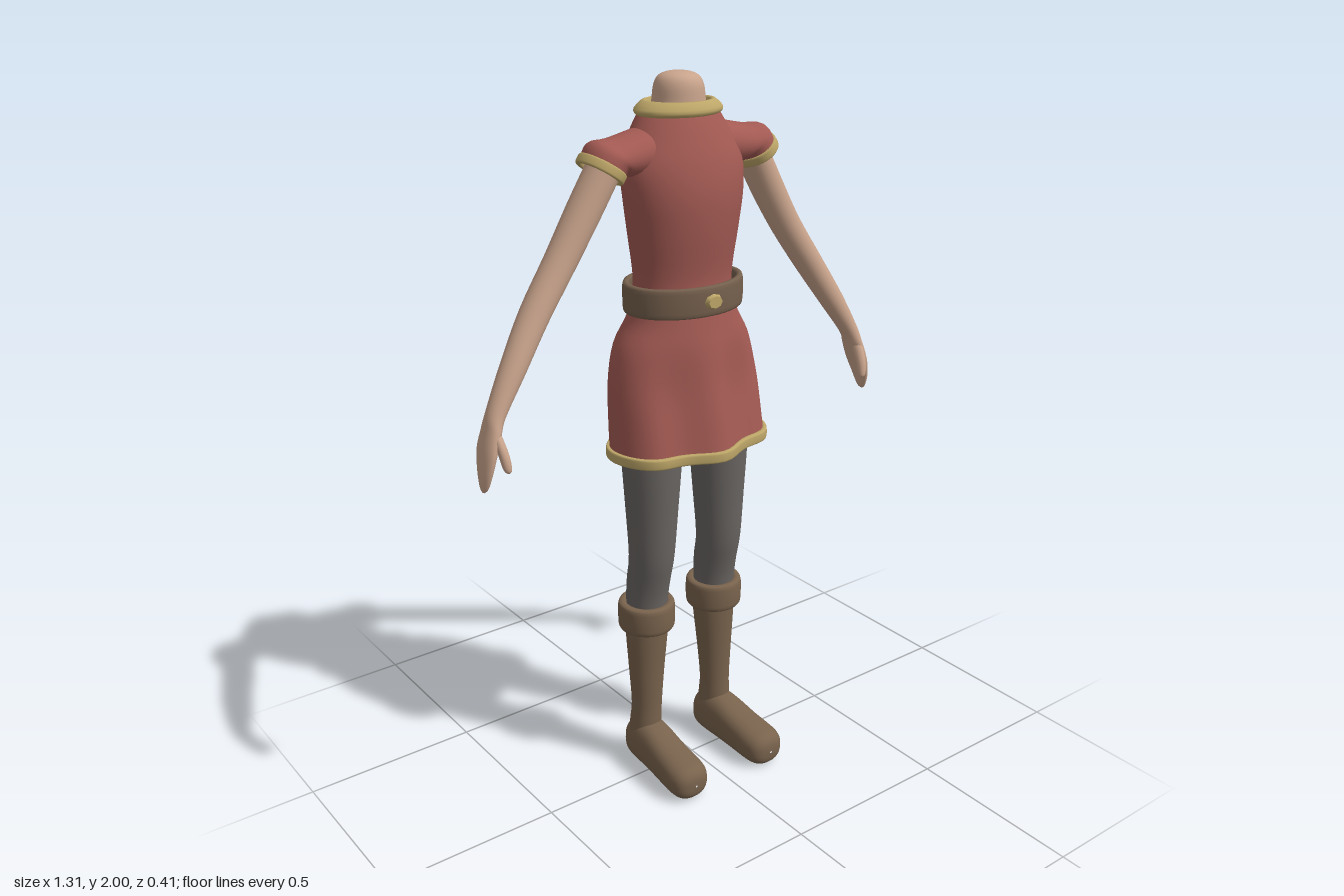
import * as THREE from 'three';

const paint = (name, color, extra = {}) => new THREE.MeshStandardMaterial({ name, color, ...extra });

// Joins oval sections [x, y, z, radiusX, radiusZ, tilt] from bottom to top.
// side mirrors the part, square below 1 makes the ovals boxier, warp bends each point.
function loft(name, material, sections, { side = 1, steps = 4, around = 32, square = 1, warp } = {}) {
  const rows = [];
  const last = sections.length - 1;
  const at = (i, k) => sections[Math.min(Math.max(i, 0), last)][k] ?? 0;
  for (let i = 0; i < last; i++) {
    for (let s = 0; s < steps; s++) {
      const t = s / steps;
      rows.push([0, 1, 2, 3, 4, 5].map((k) => {
        const a = at(i - 1, k), b = at(i, k), c = at(i + 1, k), d = at(i + 2, k);
        return b + 0.5 * t * (c - a + t * (2 * a - 5 * b + 4 * c - d + t * (3 * (b - c) + d - a)));
      }));
    }
  }
  rows.push([0, 1, 2, 3, 4, 5].map((k) => at(last, k)));
  const round = (v) => Math.sign(v) * Math.abs(v) ** square;
  const points = [], index = [];
  rows.forEach(([x, y, z, ru, rv, tilt], i) => {
    for (let j = 0; j < around; j++) {
      const a = (j / around) * Math.PI * 2;
      const u = round(Math.cos(a)) * Math.max(ru, 0.0005);
      const v = round(Math.sin(a)) * Math.max(rv, 0.0005);
      const p = new THREE.Vector3(x + u * Math.cos(tilt), y + u * Math.sin(tilt), z + v);
      if (warp) warp(p);
      points.push(p.x * side, p.y, p.z);
      if (i === rows.length - 1) continue;
      const n = (j + 1) % around;
      const p0 = i * around + j, p1 = i * around + n, q0 = p0 + around, q1 = p1 + around;
      if (side > 0) index.push(p0, q0, p1, p1, q0, q1);
      else index.push(p0, p1, q0, p1, q1, q0);
    }
  });
  const geometry = new THREE.BufferGeometry();
  geometry.setAttribute('position', new THREE.Float32BufferAttribute(points, 3));
  geometry.setIndex(index);
  geometry.computeVertexNormals();
  const mesh = new THREE.Mesh(geometry, material);
  mesh.name = name;
  return mesh;
}

// A closed oval band with a softly squared cross-section.
function band(name, material, [x, y, z, ru, rv, tilt = 0], half, thick, options = {}) {
  const sections = [];
  const soft = (v) => Math.sign(v) * Math.abs(v) ** 0.5;
  for (let i = 0; i <= 16; i++) {
    const a = (i / 16) * Math.PI * 2 - Math.PI;
    const up = half * soft(Math.sin(a)), out = thick * soft(Math.cos(a));
    sections.push([x - up * Math.sin(tilt), y + up * Math.cos(tilt), z, ru + out, rv + out, tilt]);
  }
  return loft(name, material, sections, { steps: 1, around: 48, ...options });
}

// Folds of the skirt, growing toward the hem
function folds(p) {
  const w = THREE.MathUtils.smoothstep(1.38 - p.y, 0, 0.25);
  p.z += 0.013 * w * Math.cos(31 * p.x);
}

export function createModel() {
  const cloth = paint('red cloth', 0xa35a53, { side: THREE.DoubleSide });
  const gold = paint('gold trim', 0xbda668);
  const skin = paint('skin', 0xc9a48c);
  const leather = paint('belt leather', 0x75604d);
  const boot = paint('boot leather', 0x79634d);
  const hose = paint('grey hose', 0x696562);
  const model = new THREE.Group();
  model.name = 'headlessFigure';

  // Tunic with skirt, hem and collar
  model.add(loft('tunic', cloth, [
    [0, 1.01, -0.03, 0.236, 0.162],
    [0, 1.1, -0.042, 0.232, 0.158],
    [0, 1.2, -0.052, 0.225, 0.15],
    [0, 1.3, -0.05, 0.203, 0.138],
    [0, 1.38, -0.043, 0.16, 0.118],
    [0, 1.47, -0.04, 0.145, 0.102],
    [0, 1.6, -0.037, 0.16, 0.117],
    [0, 1.7, -0.036, 0.174, 0.122],
    [0, 1.78, -0.044, 0.176, 0.118],
    [0, 1.85, -0.053, 0.143, 0.104],
    [0, 1.9, -0.056, 0.112, 0.086],
    [0, 1.915, -0.056, 0.095, 0.075],
  ], { around: 64, warp: folds }));
  model.add(band('hemTrim', gold, [0, 1.015, -0.03, 0.238, 0.163], 0.015, 0.008, { around: 64, warp: folds }));
  model.add(loft('collar', gold, [
    [0, 1.893, -0.056, 0.112, 0.086],
    [0, 1.9, -0.056, 0.122, 0.094],
    [0, 1.912, -0.056, 0.122, 0.094],
    [0, 1.93, -0.056, 0.1, 0.081],
    [0, 1.927, -0.056, 0.086, 0.074],
    [0, 1.9, -0.056, 0.08, 0.068],
  ], { steps: 2, around: 48 }));
  model.add(loft('neck', skin, [
    [0, 1.88, -0.055, 0.082, 0.074],
    [0, 1.925, -0.055, 0.071, 0.068],
    [0, 1.965, -0.055, 0.065, 0.064],
    [0, 1.988, -0.055, 0.052, 0.052],
    [0, 1.998, -0.055, 0.028, 0.028],
    [0, 2, -0.055, 0.001, 0.001],
  ]));

  // Belt and buckle
  model.add(band('belt', leather, [0, 1.432, -0.038, 0.165, 0.122], 0.041, 0.01));
  const buckle = new THREE.Mesh(new THREE.CylinderGeometry(0.022, 0.028, 0.012, 8), gold);
  buckle.name = 'buckle';
  buckle.rotation.x = Math.PI / 2;
  buckle.scale.z = 0.75;
  buckle.position.set(0, 1.432, 0.098);
  model.add(buckle);

  for (const side of [1, -1]) {
    const tag = side > 0 ? 'left' : 'right';
    const o = { side };

    // Sleeve, arm and hand
    model.add(loft(tag + 'Sleeve', cloth, [
      [0.244, 1.78, -0.048, 0.055, 0.068, 0.57],
      [0.225, 1.803, -0.05, 0.06, 0.072, 0.8],
      [0.19, 1.802, -0.052, 0.054, 0.073, 1.2],
      [0.1, 1.81, -0.055, 0.065, 0.075, 1.57],
    ], o));
    model.add(band(tag + 'SleeveTrim', gold, [0.245, 1.78, -0.048, 0.055, 0.067, 0.6], 0.013, 0.007, o));
    model.add(loft(tag + 'Arm', skin, [
      [0.648, 1.03, -0.004, 0.002, 0.004, 0.2],
      [0.645, 1.042, -0.004, 0.009, 0.016, 0.2],
      [0.639, 1.08, -0.006, 0.014, 0.031, 0.25],
      [0.627, 1.13, -0.012, 0.018, 0.042, 0.3],
      [0.61, 1.18, -0.015, 0.021, 0.038, 0.4],
      [0.592, 1.225, -0.018, 0.025, 0.03, 0.5],
      [0.53, 1.325, -0.032, 0.034, 0.035, 0.55],
      [0.454, 1.44, -0.05, 0.039, 0.041, 0.57],
      [0.37, 1.56, -0.057, 0.042, 0.043, 0.57],
      [0.295, 1.68, -0.056, 0.045, 0.047, 0.55],
      [0.23, 1.79, -0.05, 0.044, 0.05, 0.57],
    ], o));
    model.add(loft(tag + 'Thumb', skin, [
      [0.6, 1.085, 0.044, 0.002, 0.002, 0.1],
      [0.601, 1.095, 0.042, 0.011, 0.01, 0.1],
      [0.604, 1.13, 0.032, 0.014, 0.015, 0.2],
      [0.607, 1.17, 0.01, 0.014, 0.018, 0.3],
      [0.606, 1.2, -0.01, 0.01, 0.012, 0.4],
    ], { side, around: 16 }));

    // Leg
    model.add(loft(tag + 'Leg', hose, [
      [0.121, 0.47, -0.055, 0.058, 0.058],
      [0.121, 0.55, -0.052, 0.06, 0.061],
      [0.12, 0.61, -0.045, 0.061, 0.065],
      [0.119, 0.69, -0.03, 0.064, 0.066],
      [0.117, 0.83, -0.029, 0.073, 0.075],
      [0.115, 1, -0.03, 0.085, 0.085],
      [0.11, 1.18, -0.04, 0.095, 0.095],
      [0.08, 1.34, -0.045, 0.07, 0.075],
    ], o));

    // Boot
    model.add(loft(tag + 'BootShaft', boot, [
      [0.13, 0.06, -0.064, 0.046, 0.046],
      [0.129, 0.13, -0.058, 0.046, 0.048],
      [0.127, 0.2, -0.053, 0.045, 0.044],
      [0.125, 0.32, -0.054, 0.053, 0.051],
      [0.122, 0.44, -0.055, 0.062, 0.06],
      [0.121, 0.52, -0.055, 0.064, 0.063],
    ], o));
    model.add(band(tag + 'BootCuff', boot, [0.122, 0.495, -0.055, 0.068, 0.069], 0.042, 0.014, o));
    const foot = loft(tag + 'Foot', boot, [
      [0.128, -0.115, -0.06, 0.005, 0.008],
      [0.128, -0.112, -0.06, 0.034, 0.045],
      [0.128, -0.095, -0.063, 0.046, 0.062],
      [0.129, -0.045, -0.071, 0.054, 0.071],
      [0.131, 0.005, -0.07, 0.055, 0.07],
      [0.135, 0.08, -0.06, 0.058, 0.06],
      [0.138, 0.15, -0.053, 0.061, 0.053],
      [0.139, 0.185, -0.05, 0.053, 0.047],
      [0.139, 0.202, -0.048, 0.032, 0.03],
      [0.139, 0.206, -0.048, 0.003, 0.003],
    ], { side, square: 0.8 });
    foot.geometry.rotateX(Math.PI / 2);
    model.add(foot);
  }
  return model;
}
